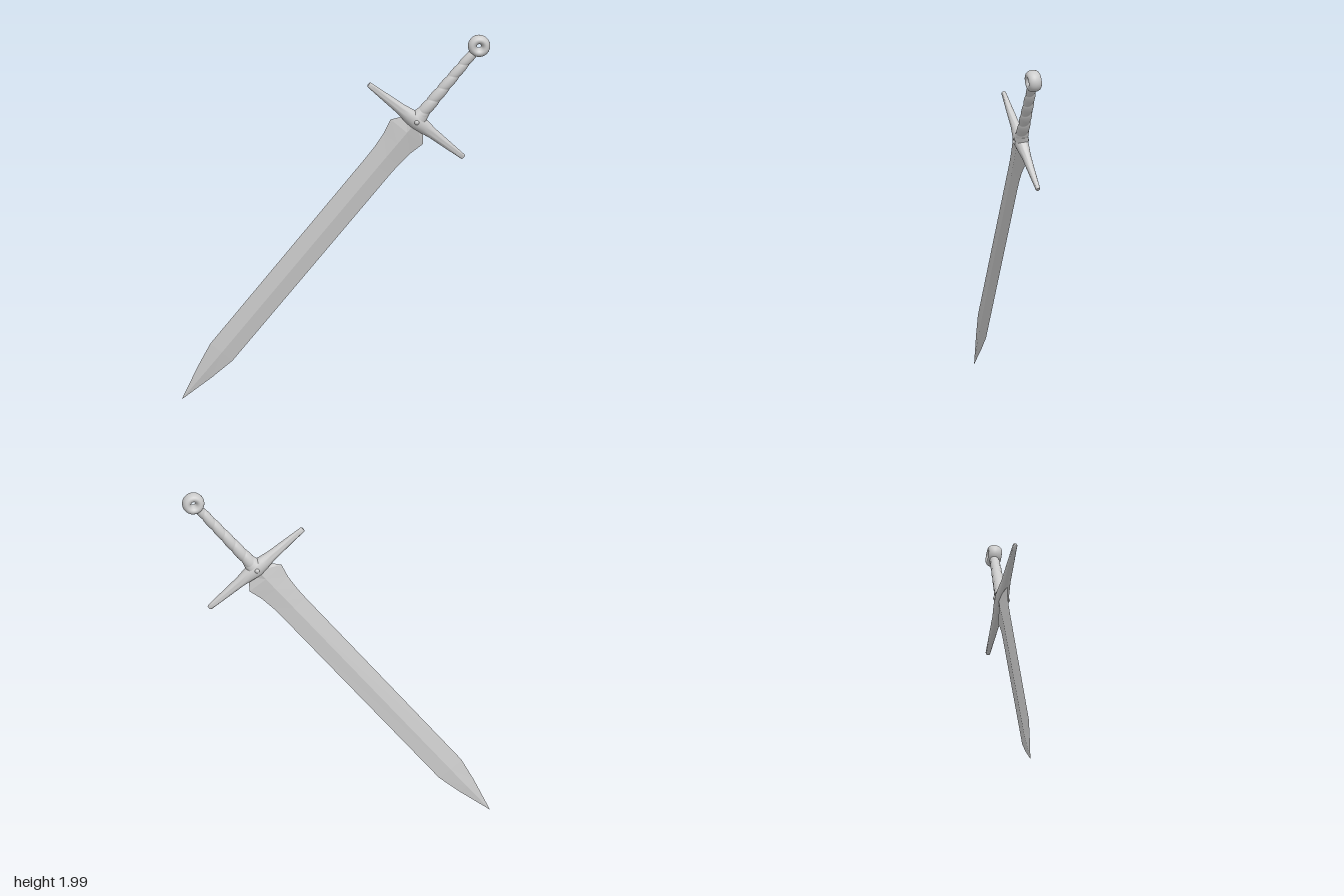
import * as THREE from 'three';
import { mergeVertices, toCreasedNormals } from 'three/addons/utils/BufferGeometryUtils.js';

const mat = (opts = {}) => new THREE.MeshStandardMaterial({ color: 0xcccccc, ...opts });

function part(name, geometry, material = mat()) {
  const mesh = new THREE.Mesh(geometry, material);
  mesh.name = name;
  return mesh;
}

// Lofted diamond sections: [y, half width, half thickness]
function bladeGeometry(sections) {
  const pos = [], idx = [];
  for (const [y, w, d] of sections) pos.push(w, y, 0, 0, y, d, -w, y, 0, 0, y, -d);
  for (let i = 0; i < sections.length - 1; i++) {
    for (let k = 0; k < 4; k++) {
      const a0 = i * 4 + k, a1 = i * 4 + (k + 1) % 4, b0 = a0 + 4, b1 = a1 + 4;
      idx.push(a1, b1, b0, a1, b0, a0);
    }
  }
  const g = new THREE.BufferGeometry();
  g.setAttribute('position', new THREE.Float32BufferAttribute(pos, 3));
  g.setIndex(idx);
  return g.toNonIndexed();
}

// Tapering handle whose surface swells along a spiral, like wound leather
function gripGeometry(y0, y1) {
  let g = new THREE.CylinderGeometry(1, 1, y1 - y0, 32, 90, true);
  g.translate(0, (y0 + y1) / 2, 0);
  const p = g.attributes.position;
  for (let i = 0; i < p.count; i++) {
    const x = p.getX(i), y = p.getY(i), z = p.getZ(i);
    const t = (y - y0) / (y1 - y0);
    const phase = y / 0.085 + Math.atan2(z, x) / (2 * Math.PI);
    const swell = Math.abs(Math.sin(Math.PI * phase));
    const r = THREE.MathUtils.lerp(0.03, 0.021, t) + 0.005 * Math.sqrt(swell);
    p.setXYZ(i, x * r, y, z * r);
  }
  g.deleteAttribute('uv');
  g.deleteAttribute('normal');
  g = mergeVertices(g, 1e-5);
  g.computeVertexNormals();
  return g;
}

export function createModel() {
  const sword = new THREE.Group();
  sword.name = 'sword';

  // Blade: flared shoulders, long straight edges, pointed tip
  const blade = bladeGeometry([
    [-0.01, 0.06, 0.02], [-0.079, 0.113, 0.018], [-0.16, 0.093, 0.016],
    [-0.25, 0.084, 0.014], [-0.32, 0.082, 0.013], [-1.64, 0.078, 0.011],
    [-1.78, 0.05, 0.008], [-1.975, 0, 0],
  ]);
  blade.computeVertexNormals();
  sword.add(part('blade', blade, mat({ flatShading: true, side: THREE.DoubleSide })));

  // Crossguard: turned bar, thick in the middle, slim blunt ends
  const half = [[0, 0.333], [0.011, 0.333], [0.015, 0.328], [0.017, 0.3], [0.024, 0.2], [0.03, 0.11], [0.039, 0.055]];
  const outline = [
    ...half.map(([r, s]) => [r, -s]), [0.047, 0], ...half.slice().reverse(),
  ].map(([r, s]) => new THREE.Vector2(r, s));
  const guard = new THREE.LatheGeometry(outline, 24);
  guard.rotateZ(-Math.PI / 2);
  guard.scale(1, 1, 0.82);
  sword.add(part('crossguard', toCreasedNormals(guard, 0.7)));

  // Collar between guard and grip
  const collar = new THREE.CylinderGeometry(0.034, 0.046, 0.045, 24);
  collar.scale(1, 1, 0.85);
  collar.translate(0, 0.045, 0);
  sword.add(part('collar', collar));

  // Small stud on each face of the guard
  for (const side of [1, -1]) {
    const stud = part('guardStud', new THREE.SphereGeometry(0.014, 16, 12));
    stud.position.set(0, 0, side * 0.032);
    sword.add(stud);
  }

  sword.add(part('grip', gripGeometry(0.04, 0.485)));

  // Pommel: thick ring with a small hole through it
  const ring = [];
  for (let i = 0; i <= 24; i++) {
    const a = (i / 24) * Math.PI * 2;
    ring.push(new THREE.Vector2(0.036 + 0.024 * Math.cos(a), 0.036 * Math.sin(a)));
  }
  const pommel = new THREE.LatheGeometry(ring, 36);
  pommel.rotateX(Math.PI / 2);
  pommel.translate(0, 0.531, 0);
  sword.add(part('pommel', pommel));

  // Lean the whole sword diagonally, tip down
  const along = new THREE.Vector3(0.63, 0.772, 0.082).normalize();
  const normal = new THREE.Vector3(0.773, -0.634, -0.03).cross(along).normalize();
  const across = along.clone().cross(normal);
  sword.quaternion.setFromRotationMatrix(new THREE.Matrix4().makeBasis(across, along, normal));
  sword.position.set(0.425, 1.535, 0.0415);

  const model = new THREE.Group();
  model.add(sword);
  return model;
}
